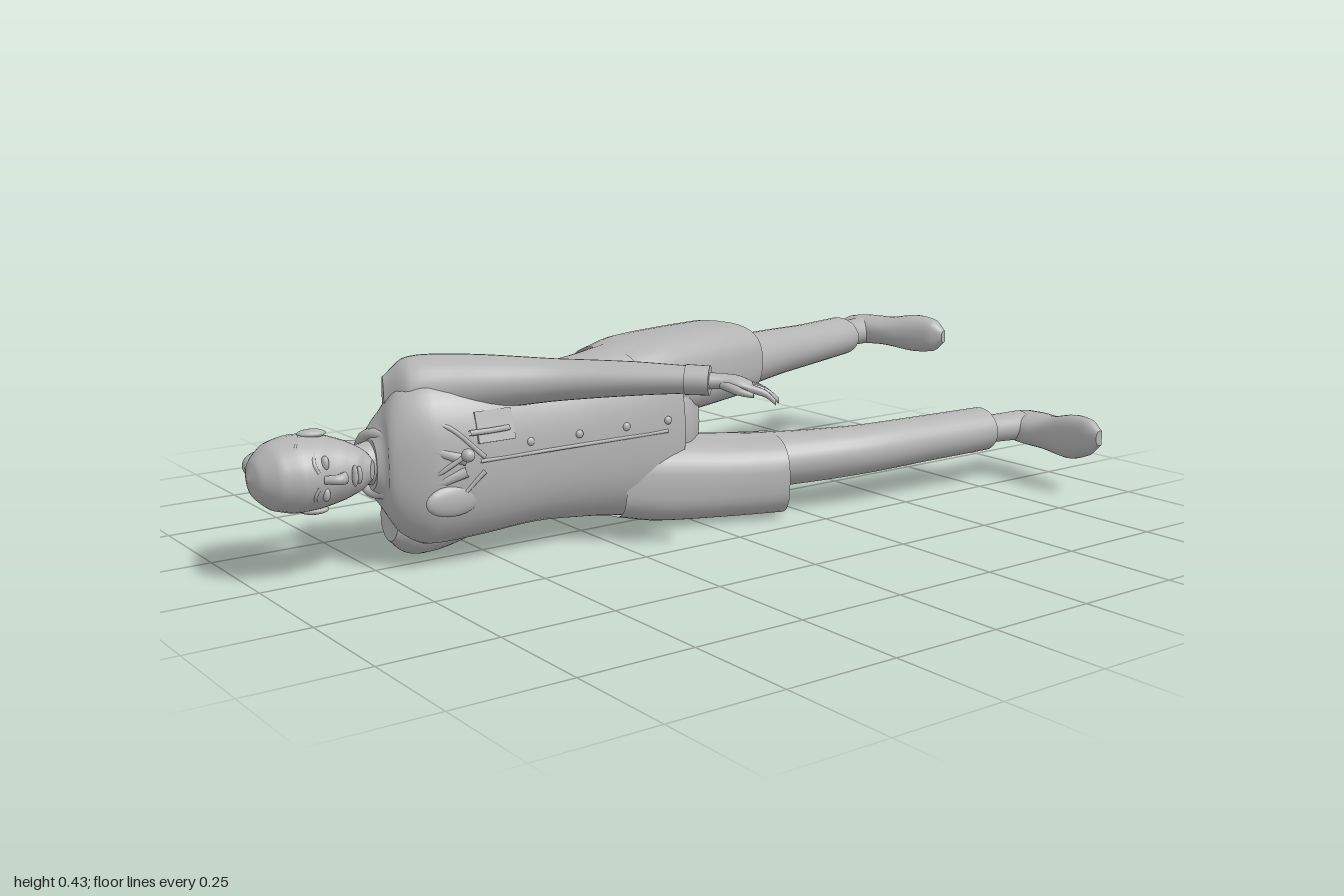
import * as THREE from 'three';

const cloth = new THREE.MeshStandardMaterial({ color: 0xb4b4b4, side: THREE.DoubleSide });
cloth.name = 'plainGrey';

// Sweep an oval section through stations [x, y, z, radius across, radius in y].
// power > 2 makes the section boxier; flat cuts off one side (for soles).
function loft(name, stations, { power = 2, flat = 1, caps = true, sides = 28, steps = 5 } = {}) {
  const path = new THREE.CatmullRomCurve3(stations.map(s => new THREE.Vector3(s[0], s[1], s[2])));
  const radii = new THREE.CatmullRomCurve3(stations.map(s => new THREE.Vector3(s[3], s[4], 0)));
  const n = (stations.length - 1) * steps;
  const pos = [], idx = [];
  const round = v => Math.sign(v) * Math.pow(Math.abs(v), 2 / power);
  for (let i = 0; i <= n; i++) {
    const c = path.getPoint(i / n), r = radii.getPoint(i / n);
    const t = path.getTangent(i / n).setY(0).normalize();
    for (let j = 0; j < sides; j++) {
      const a = j / sides * Math.PI * 2;
      const u = Math.min(round(Math.cos(a)), flat) * Math.max(r.x, 0.001);
      const v = round(Math.sin(a)) * Math.max(r.y, 0.001);
      pos.push(c.x + t.z * u, c.y + v, c.z - t.x * u);
    }
  }
  for (let i = 0; i < n; i++) for (let j = 0; j < sides; j++) {
    const a = i * sides + j, b = i * sides + (j + 1) % sides;
    idx.push(a, b, a + sides, b, b + sides, a + sides);
  }
  // end caps with their own vertices, so the rims stay crisp
  if (caps) for (const i of [0, n]) {
    const start = pos.length / 3, c = path.getPoint(i / n);
    pos.push(...pos.slice(i * sides * 3, (i + 1) * sides * 3), c.x, c.y, c.z);
    for (let j = 0; j < sides; j++) {
      const a = start + j, b = start + (j + 1) % sides;
      idx.push(start + sides, ...(i ? [a, b] : [b, a]));
    }
  }
  const g = new THREE.BufferGeometry();
  g.setAttribute('position', new THREE.Float32BufferAttribute(pos, 3));
  g.setIndex(idx);
  g.computeVertexNormals();
  return named(name, g);
}

function named(name, geometry) {
  const m = new THREE.Mesh(geometry, cloth);
  m.name = name;
  return m;
}

function blob(name, x, y, z, rx, ry, rz) {
  const m = named(name, new THREE.SphereGeometry(1, 20, 14));
  m.position.set(x, y, z);
  m.scale.set(rx, ry, rz);
  return m;
}

function cord(name, points, radius) {
  const curve = new THREE.CatmullRomCurve3(points.map(p => new THREE.Vector3(...p)));
  return named(name, new THREE.TubeGeometry(curve, 24, radius, 8));
}

// Palm, four fingers and thumb; dir = pointing direction in xz, side = thumb direction
function hand(name, wrist, dir, side, curl) {
  const g = new THREE.Group();
  g.name = name;
  const at = (along, across, lift) => [
    wrist[0] + dir[0] * along + side[0] * across, wrist[1] + curl * lift,
    wrist[2] + dir[1] * along + side[1] * across];
  g.add(loft('palm', [
    [...at(-0.03, 0, 0), 0.021, 0.018], [...at(0.02, 0, 0), 0.022, 0.016],
    [...at(0.06, 0, 0.005), 0.034, 0.015], [...at(0.085, 0, 0.012), 0.031, 0.011]]));
  for (let i = 0; i < 4; i++) {
    const off = (i - 1.5) * 0.016, len = 0.062 - Math.abs(i - 1.7) * 0.008;
    g.add(loft('finger', [
      [...at(0.075, off, 0.01), 0.0085, 0.009], [...at(0.08 + len * 0.6, off * 1.15, 0.022), 0.008, 0.008],
      [...at(0.08 + len, off * 1.2, 0.04), 0.005, 0.006]], { sides: 10, steps: 3 }));
  }
  g.add(loft('thumb', [
    [...at(0.025, 0.012, 0.004), 0.012, 0.011], [...at(0.055, 0.038, 0.014), 0.009, 0.009],
    [...at(0.085, 0.046, 0.022), 0.005, 0.005]], { sides: 10, steps: 3 }));
  return g;
}

// Shoe from [x, sole z, top z, half width, y], heel to toe
function shoe(name, rows) {
  return loft(name, rows.map(([x, sole, top, w, y]) => {
    const r = (top - sole) / 1.5;
    return [x, y, top - r, r, w];
  }), { flat: 0.5, power: 2.3 });
}

export function createModel() {
  const model = new THREE.Group();
  model.name = 'lyingFigure';
  const add = (...m) => model.add(...m);
  const Y = 0.225;

  // Head, from crown to chin
  add(loft('head', [
    [-0.03, Y, 1.0, 0.004, 0.004], [-0.03, Y, 0.988, 0.04, 0.038], [-0.03, Y, 0.955, 0.073, 0.067],
    [-0.028, Y, 0.905, 0.087, 0.078], [-0.018, Y, 0.855, 0.081, 0.074], [0.003, Y, 0.81, 0.06, 0.059],
    [0.022, Y, 0.78, 0.04, 0.04], [0.035, Y, 0.765, 0.016, 0.02]]));
  add(loft('neck', [[-0.025, Y, 0.85, 0.045, 0.045], [-0.022, Y, 0.78, 0.04, 0.041], [-0.02, Y, 0.7, 0.05, 0.055]]));
  add(loft('nose', [[0.057, Y, 0.878, 0.008, 0.008], [0.07, Y, 0.852, 0.012, 0.011], [0.064, Y, 0.838, 0.009, 0.013]], { sides: 12 }));
  add(blob('upperLip', 0.06, Y, 0.815, 0.008, 0.022, 0.006), blob('lowerLip', 0.058, Y, 0.805, 0.008, 0.018, 0.006));
  for (const s of [-1, 1]) {
    add(blob('eye', 0.048, Y + s * 0.031, 0.872, 0.01, 0.015, 0.008));
    add(cord('eyebrow', [[0.056, Y + s * 0.014, 0.889], [0.05, Y + s * 0.032, 0.895], [0.034, Y + s * 0.05, 0.889]], 0.004));
    const ear = blob('ear', -0.02, Y + s * 0.078, 0.868, 0.018, 0.009, 0.029);
    ear.rotation.y = -0.25;
    add(ear);
    add(cord('hairlineEdge', [[0.045, Y + s * 0.005, 0.935], [0.02, Y + s * 0.06, 0.92], [-0.015, Y + s * 0.076, 0.895]], 0.003));
  }

  // Ponytail
  add(loft('ponytail', [
    [-0.1, Y, 0.93, 0.02, 0.02], [-0.135, Y, 0.94, 0.026, 0.026], [-0.155, Y, 0.89, 0.02, 0.028],
    [-0.142, Y, 0.82, 0.015, 0.027], [-0.146, Y, 0.74, 0.016, 0.024], [-0.157, Y, 0.66, 0.003, 0.006]]));

  // Jacket body
  add(loft('jacketBody', [
    [-0.022, Y, 0.745, 0.046, 0.055], [-0.02, Y, 0.722, 0.068, 0.095], [-0.01, Y, 0.69, 0.09, 0.15],
    [0, 0.222, 0.64, 0.11, 0.176], [0.004, 0.22, 0.54, 0.122, 0.172], [0.006, 0.22, 0.4, 0.117, 0.165],
    [0.002, 0.22, 0.25, 0.121, 0.178], [-0.008, 0.22, 0.12, 0.13, 0.197], [-0.015, 0.22, 0.06, 0.128, 0.198]],
    { power: 2.4, sides: 40 }));

  // Split coat skirts, each following its leg
  add(loft('leftCoatSkirt', [
    [-0.005, 0.318, 0.18, 0.112, 0.088], [-0.028, 0.326, 0.08, 0.124, 0.095],
    [-0.068, 0.33, -0.08, 0.126, 0.092], [-0.118, 0.328, -0.22, 0.128, 0.088]], { power: 2.8, caps: false, sides: 36 }));
  add(loft('rightCoatSkirt', [
    [0.0, 0.12, 0.18, 0.108, 0.088], [0.018, 0.108, 0.08, 0.116, 0.095],
    [0.062, 0.096, -0.08, 0.114, 0.09], [0.11, 0.095, -0.21, 0.114, 0.088]], { power: 2.8, caps: false, sides: 36 }));

  // Trousers
  add(loft('seat', [[-0.01, Y, 0.12, 0.1, 0.15], [-0.01, Y, 0.03, 0.105, 0.155], [-0.01, Y, -0.04, 0.06, 0.1]]));
  add(loft('leftTrouserLeg', [
    [-0.03, 0.315, 0.03, 0.085, 0.08], [-0.095, 0.31, -0.2, 0.077, 0.067], [-0.195, 0.305, -0.45, 0.067, 0.058],
    [-0.265, 0.298, -0.62, 0.064, 0.053], [-0.33, 0.296, -0.8, 0.062, 0.05]], { caps: false }));
  add(loft('rightTrouserLeg', [
    [0.02, 0.12, 0.03, 0.085, 0.078], [0.1, 0.121, -0.2, 0.077, 0.064], [0.165, 0.127, -0.4, 0.067, 0.058],
    [0.185, 0.131, -0.6, 0.063, 0.055], [0.197, 0.133, -0.8, 0.063, 0.053]], { caps: false }));
  add(loft('leftAnkle', [[-0.3, 0.296, -0.7, 0.045, 0.038], [-0.34, 0.296, -0.82, 0.04, 0.034], [-0.362, 0.297, -0.92, 0.046, 0.036]]));
  add(loft('rightAnkle', [[0.2, 0.133, -0.7, 0.045, 0.038], [0.212, 0.133, -0.82, 0.04, 0.034], [0.218, 0.131, -0.92, 0.044, 0.036]]));

  // Shoes
  add(shoe('leftShoe', [
    [-0.432, -0.945, -0.905, 0.018, 0.296], [-0.415, -0.955, -0.882, 0.034, 0.296], [-0.37, -0.968, -0.876, 0.038, 0.298],
    [-0.3, -0.985, -0.89, 0.037, 0.3], [-0.22, -0.999, -0.925, 0.048, 0.302], [-0.155, -1.0, -0.955, 0.042, 0.302],
    [-0.125, -0.998, -0.98, 0.016, 0.302]]));
  add(shoe('rightShoe', [
    [0.17, -0.965, -0.915, 0.018, 0.125], [0.188, -0.984, -0.88, 0.034, 0.125], [0.24, -0.978, -0.872, 0.038, 0.125],
    [0.31, -0.958, -0.885, 0.042, 0.125], [0.39, -0.936, -0.882, 0.054, 0.132], [0.45, -0.918, -0.882, 0.044, 0.142],
    [0.484, -0.908, -0.89, 0.018, 0.147]]));

  // Sleeves, cuffs and hands
  add(loft('leftSleeve', [
    [-0.04, 0.345, 0.7, 0.025, 0.05], [-0.02, 0.367, 0.65, 0.07, 0.067], [0.035, 0.375, 0.54, 0.068, 0.06],
    [0.13, 0.38, 0.395, 0.052, 0.044], [0.24, 0.386, 0.275, 0.044, 0.035], [0.325, 0.388, 0.195, 0.034, 0.028]]));
  add(loft('rightSleeve', [
    [-0.03, 0.1, 0.7, 0.025, 0.05], [-0.05, 0.078, 0.64, 0.068, 0.069], [-0.095, 0.06, 0.53, 0.066, 0.055],
    [-0.19, 0.053, 0.39, 0.052, 0.041], [-0.27, 0.048, 0.28, 0.043, 0.035], [-0.335, 0.046, 0.2, 0.034, 0.029]]));
  add(loft('leftCuff', [[0.32, 0.388, 0.2, 0.038, 0.031], [0.355, 0.387, 0.165, 0.037, 0.03]]));
  add(loft('rightCuff', [[-0.33, 0.046, 0.205, 0.038, 0.033], [-0.36, 0.046, 0.17, 0.037, 0.032]]));
  add(hand('leftHand', [0.355, 0.386, 0.165], [0.56, -0.83], [0.83, 0.56], -1));
  add(hand('rightHand', [-0.365, 0.046, 0.165], [-0.66, -0.75], [0.75, -0.66], 1));

  // Collar and lapels
  for (const s of [-1, 1]) {
    add(cord('collar', [[-0.07, Y, 0.752], [-0.03, Y + s * 0.058, 0.745], [0.04, Y + s * 0.055, 0.712],
      [0.085, Y + s * 0.04, 0.672], [0.122, Y + s * 0.012, 0.6]], 0.011));
    add(cord('lapelEdge', [[0.045, Y + s * 0.075, 0.7], [0.098, Y + s * 0.085, 0.64], [0.126, Y + s * 0.015, 0.56]], 0.005));
  }
  add(cord('neckCord', [[0.03, Y - 0.05, 0.715], [0.1, Y - 0.015, 0.66], [0.13, Y + 0.025, 0.605]], 0.005));
  add(blob('cordBead', 0.132, 0.25, 0.602, 0.014, 0.014, 0.014));

  // Chest badge, pocket with pen, front edge and buttons
  add(blob('chestBadge', 0.108, 0.155, 0.625, 0.014, 0.033, 0.062));
  const pocket = named('breastPocket', new THREE.BoxGeometry(0.014, 0.065, 0.085));
  pocket.position.set(0.111, 0.298, 0.53);
  pocket.rotation.z = 0.3;
  add(pocket);
  add(cord('pocketPen', [[0.12, 0.292, 0.5], [0.124, 0.292, 0.55], [0.122, 0.292, 0.592]], 0.006));
  add(cord('frontEdge', [[0.125, 0.232, 0.57], [0.123, 0.232, 0.4], [0.122, 0.232, 0.25], [0.121, 0.232, 0.1]], 0.004));
  for (const z of [0.45, 0.33, 0.21, 0.1]) add(blob('button', 0.122, 0.256, z, 0.006, 0.009, 0.009));

  return model;
}
